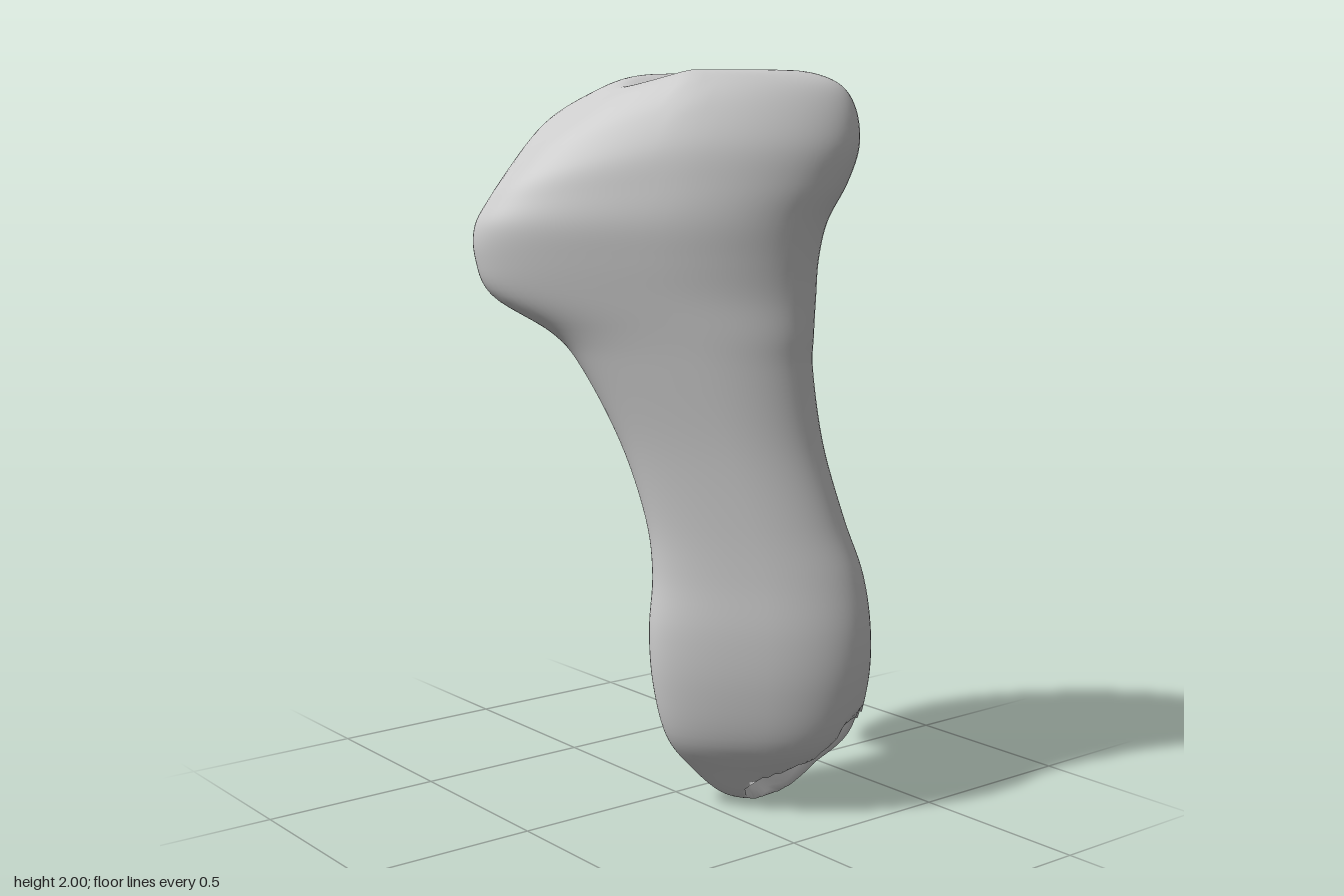
import * as THREE from 'three';

// Cross-sections up the bone: height, centre along width, centre along depth,
// half width, half depth in front, half depth behind
const SECTIONS = [
  [0.00, 0.222, 0.03, 0, 0, 0],
  [0.025, 0.217, 0.03, 0.085, 0.05, 0.05],
  [0.10, 0.22, 0.04, 0.168, 0.09, 0.09],
  [0.20, 0.238, 0.06, 0.253, 0.128, 0.125],
  [0.35, 0.242, 0.066, 0.292, 0.145, 0.145],
  [0.50, 0.24, 0.064, 0.30, 0.147, 0.15],
  [0.65, 0.232, 0.048, 0.285, 0.147, 0.15],
  [0.80, 0.195, 0.036, 0.268, 0.147, 0.152],
  [1.00, 0.132, 0.027, 0.272, 0.147, 0.162],
  [1.20, 0.066, 0.025, 0.308, 0.15, 0.178],
  [1.30, 0.025, 0.02, 0.35, 0.157, 0.20],
  [1.40, -0.055, 0.008, 0.434, 0.173, 0.25],
  [1.50, -0.075, 0.003, 0.46, 0.182, 0.31],
  [1.60, -0.065, -0.005, 0.472, 0.19, 0.345],
  [1.70, -0.025, -0.02, 0.483, 0.19, 0.338],
  [1.80, 0.012, -0.035, 0.476, 0.185, 0.312],
  [1.90, 0.045, -0.048, 0.43, 0.16, 0.265],
  [1.965, 0.08, -0.055, 0.345, 0.13, 0.20],
  [1.995, 0.075, -0.055, 0.245, 0.10, 0.14],
  // shallow dished top and its small central pit
  [1.98, 0.045, -0.06, 0.15, 0.07, 0.09],
  [1.95, 0.01, -0.055, 0.05, 0.035, 0.04],
  [1.85, 0.005, -0.057, 0, 0, 0],
];
const SEGMENTS = 72;
const RINGS = 120;
const { smoothstep } = THREE.MathUtils;

// Rounded power keeps the sections slightly fuller than an ellipse
const fuller = (s) => Math.sign(s) * Math.abs(s) ** 0.9;

// Push the surface inward along a slanted slot near the bottom edge
const slot = new THREE.Line3(
  new THREE.Vector3(0.27, 0.06, 0.065), new THREE.Vector3(0.48, 0.21, 0.085));
function carveSlot(p) {
  const nearest = slot.closestPointToPoint(p, true, new THREE.Vector3());
  const across = (p.z - nearest.z) / 0.06;
  const along = Math.hypot(p.x - nearest.x, p.y - nearest.y) / 0.075;
  const d = Math.hypot(across, along);
  if (d < 1) {
    const depth = 0.15 * Math.min(1, 2.2 * (1 - d));
    p.x -= depth * 0.65;
    p.y += depth * 0.75;
  }
}

// Split the back of the head into two lobes, one starting higher than the other,
// and slope the front rim gently down to one end
function shapeHead(p) {
  if (p.z < 0) {
    const groove = 0.14 * Math.exp(-(((p.x - 0.28) / 0.11) ** 2)) * smoothstep(p.y, 1.4, 1.65);
    const underLobe = 0.22 * smoothstep(p.x, 0, 0.3)
      * smoothstep(p.y, 1.15, 1.4) * (1 - smoothstep(p.y, 1.5, 1.75));
    p.z *= 1 - groove - underLobe;
  }
  const slope = 0.3 * Math.max(0, 0.04 - p.x);
  p.y -= slope * smoothstep(p.z, -0.2, 0.1) * smoothstep(p.y, 1.5, 2);
}

function boneGeometry() {
  const centres = new THREE.CatmullRomCurve3(
    SECTIONS.map(([y, u, v]) => new THREE.Vector3(u, y, v)), false, 'catmullrom', 0.5);
  const radii = new THREE.CatmullRomCurve3(
    SECTIONS.map((s) => new THREE.Vector3(s[3], s[4], s[5])), false, 'catmullrom', 0.5);
  const positions = [];
  const indices = [];
  const p = new THREE.Vector3();
  for (let r = 0; r <= RINGS; r++) {
    const c = centres.getPoint(r / RINGS);
    const h = radii.getPoint(r / RINGS);
    for (let i = 0; i < SEGMENTS; i++) {
      const angle = (i / SEGMENTS) * Math.PI * 2;
      const s = fuller(Math.sin(angle));
      const cos = Math.cos(angle);
      // one narrow end curls forward
      const bend = 0.13 * h.x * Math.min(0, cos) ** 2;
      p.set(
        c.x + h.x * fuller(cos),
        Math.max(0, c.y),
        c.z + s * (s > 0 ? h.y : h.z) + bend);
      carveSlot(p);
      shapeHead(p);
      positions.push(p.x, p.y, p.z);
      if (r < RINGS) {
        const a = r * SEGMENTS + i;
        const b = r * SEGMENTS + ((i + 1) % SEGMENTS);
        indices.push(a, a + SEGMENTS, b, b, a + SEGMENTS, b + SEGMENTS);
      }
    }
  }
  const geometry = new THREE.BufferGeometry();
  geometry.setAttribute('position', new THREE.Float32BufferAttribute(positions, 3));
  geometry.setIndex(indices);
  // the broad face stands diagonally
  geometry.rotateY(Math.PI / 4);
  geometry.computeVertexNormals();
  return geometry;
}

export function createModel() {
  const group = new THREE.Group();
  group.name = 'bone';
  const material = new THREE.MeshStandardMaterial({ color: 0xcccccc, side: THREE.DoubleSide });
  const bone = new THREE.Mesh(boneGeometry(), material);
  bone.name = 'boneShaftAndHead';
  group.add(bone);
  return group;
}
